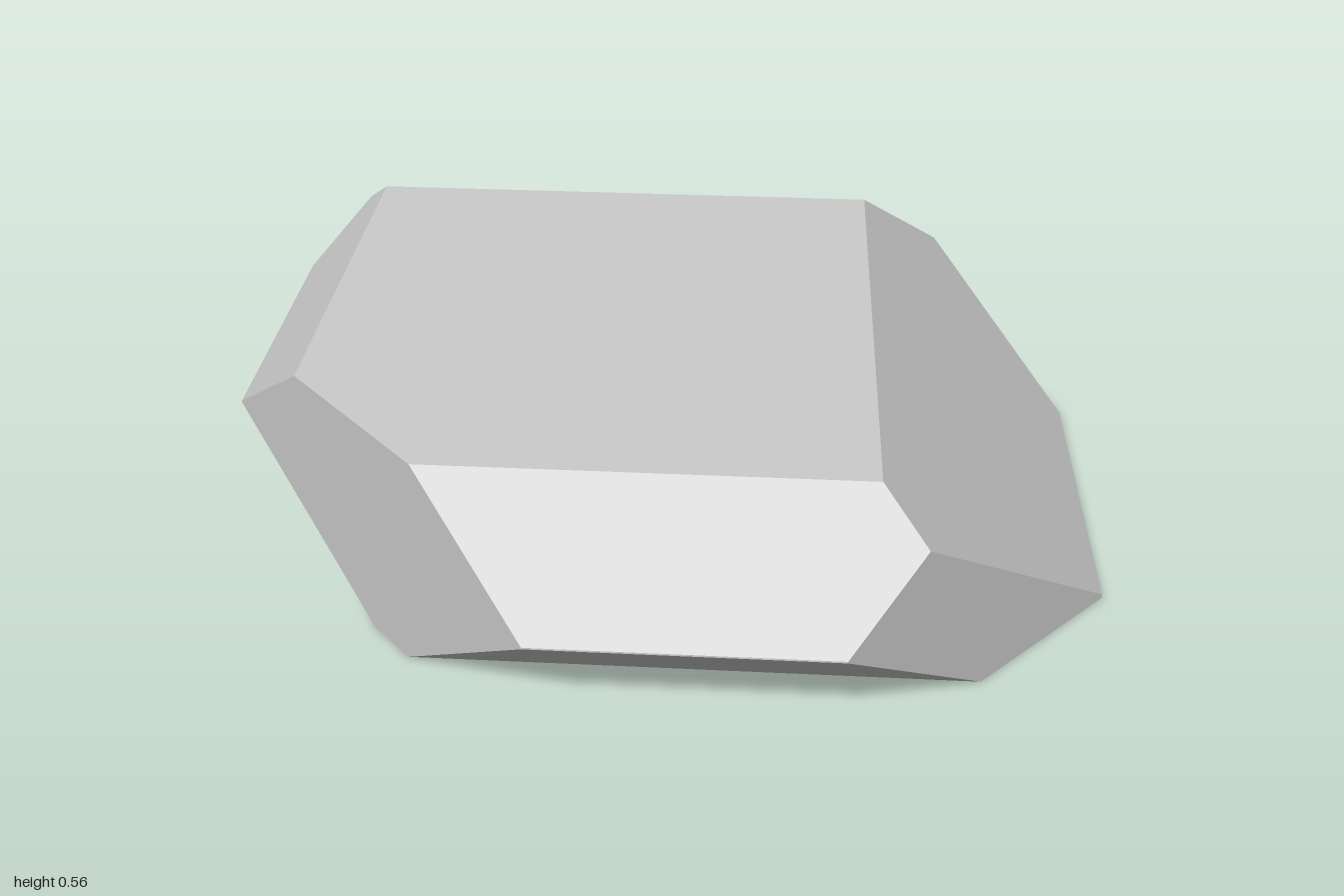
import * as THREE from 'three';
import { ConvexGeometry } from 'three/addons/geometries/ConvexGeometry.js';

// Facets of the stone as [nx, ny, nz, limit]: nx*x + ny*y + nz*z <= limit
const FACETS = [
  // flat sides
  [0, 1, 0, 0.56], [0, -1, 0, 0], [1, 0, 0, 1], [-1, 0, 0, 1], [0, 0, 1, 0.985], [0, 0, -1, 0.99],
  // sloping left and right bevels
  [1, 1, 0, 1.01], [-1, 1, 0, 1.36], [-1, -1, 0, 0.645],
  // sloping front and back bevels
  [0, 1, 1, 1.297], [0, -1, 1, 0.677], [0, 1, -1, 1.08], [0, -1, -1, 0.94],
  // upright corner bevels
  [1, 0, 1, 1.375], [1, 0, -1, 1.39], [-1, 0, 1, 1.225], [-1, 0, -1, 1.44],
];

// Corners are the points where three facets meet inside all the others
function facetCorners(facets) {
  const corners = [];
  const m = new THREE.Matrix3();
  for (let i = 0; i < facets.length; i++)
    for (let j = i + 1; j < facets.length; j++)
      for (let k = j + 1; k < facets.length; k++) {
        const [a, b, c] = [facets[i], facets[j], facets[k]];
        m.set(a[0], a[1], a[2], b[0], b[1], b[2], c[0], c[1], c[2]);
        if (Math.abs(m.determinant()) < 1e-6) continue;
        const p = new THREE.Vector3(a[3], b[3], c[3]).applyMatrix3(m.invert());
        const inside = facets.every(([x, y, z, d]) => x * p.x + y * p.y + z * p.z <= d + 1e-6);
        if (inside && !corners.some((q) => q.distanceTo(p) < 1e-4)) corners.push(p);
      }
  return corners;
}

export function createModel() {
  const group = new THREE.Group();
  group.name = 'facetedStone';
  const material = new THREE.MeshStandardMaterial({ color: 0xcccccc, flatShading: true });
  const stone = new THREE.Mesh(new ConvexGeometry(facetCorners(FACETS)), material);
  stone.name = 'stoneBody';
  group.add(stone);
  return group;
}
